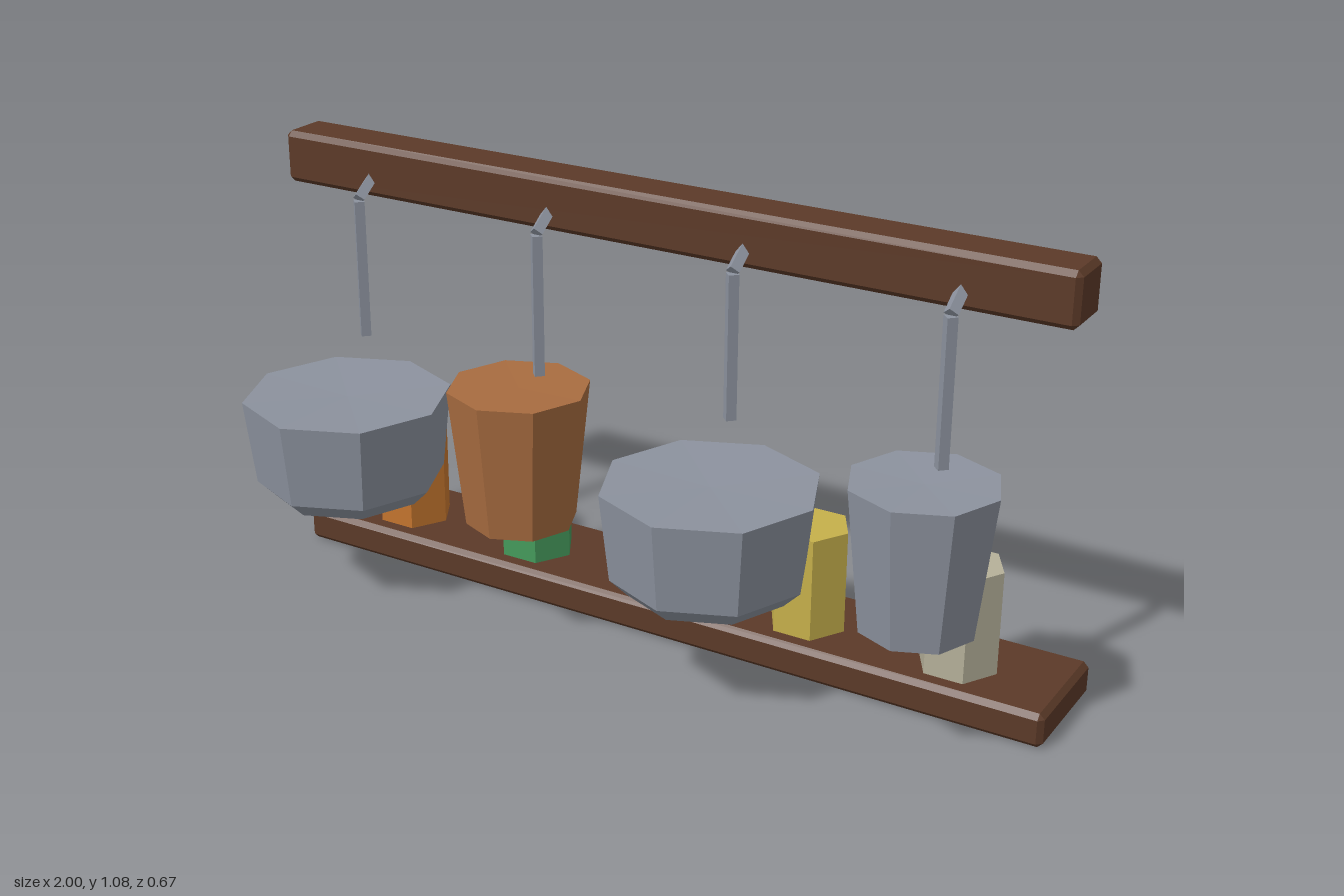
import * as THREE from 'three';
import { ConvexGeometry } from 'three/addons/geometries/ConvexGeometry.js';

const paint = (color) => new THREE.MeshStandardMaterial({ color, flatShading: true });

// Box with every edge chamfered: three points per corner, wrapped in a hull
function chamferedBox(w, h, d, c) {
  const points = [];
  for (const sx of [-1, 1]) for (const sy of [-1, 1]) for (const sz of [-1, 1]) {
    const x = w / 2, y = h / 2, z = d / 2;
    points.push(
      new THREE.Vector3(sx * x, sy * (y - c), sz * (z - c)),
      new THREE.Vector3(sx * (x - c), sy * y, sz * (z - c)),
      new THREE.Vector3(sx * (x - c), sy * (y - c), sz * z)
    );
  }
  return new ConvexGeometry(points);
}

// Eight-sided turned vessel from [radius, height] pairs
const vessel = (profile) =>
  new THREE.LatheGeometry(profile.map(([r, y]) => new THREE.Vector2(r, y)), 8);

export function createModel() {
  const model = new THREE.Group();
  model.name = 'kitchenRack';

  const wood = paint(0x5c3a28);
  const steel = paint(0x8c929e);
  const copper = paint(0xa86c40);

  const add = (name, geometry, material, x, y, z) => {
    const mesh = new THREE.Mesh(geometry, material);
    mesh.name = name;
    mesh.position.set(x, y, z);
    model.add(mesh);
    return mesh;
  };

  // Wooden hanging rail and shelf
  add('rail', chamferedBox(2, 0.125, 0.125, 0.0125), wood, 0, 1.021, -0.104);
  add('shelf', chamferedBox(2, 0.083, 0.29, 0.0125), wood, 0, 0.0415, -0.188);

  // Hanging pots: wide pans and tall pots alternate under four hooks
  const panGeometry = vessel([[0, 0.253], [0.187, 0.253], [0.227, 0.293], [0.25, 0.5], [0, 0.494]]);
  const potGeometry = vessel([[0, 0.295], [0.13, 0.295], [0.166, 0.625], [0, 0.621]]);
  const rodGeometry = new THREE.CylinderGeometry(0.0165, 0.0165, 0.335, 4);
  const armGeometry = new THREE.CylinderGeometry(0.0165, 0.0165, 0.11, 4);
  [-0.75, -0.25, 0.25, 0.75].forEach((x, i) => {
    add('hookRod', rodGeometry, steel, x, 0.7925, 0);
    // Slanted arm reaching back into the rail
    const arm = add('hookArm', armGeometry, steel, x, 0.997, -0.0445);
    arm.rotation.x = -Math.atan2(0.089, 0.064);
    if (i % 2 === 0) add('pan', panGeometry, steel, x, 0, 0.083);
    else add('pot', potGeometry, i === 1 ? copper : steel, x, 0, 0.083);
  });

  // Row of hexagonal spice jars on the shelf
  const jarGeometry = new THREE.CylinderGeometry(0.0935, 0.0935, 0.25, 6).rotateY(Math.PI / 6);
  [0xc4752e, 0x459a5c, 0xb55341, 0xc6b04b, 0xb5b099].forEach((color, i) => {
    add('spiceJar', jarGeometry, paint(color), -0.75 + i * 0.375, 0.208, -0.166);
  });

  return model;
}
